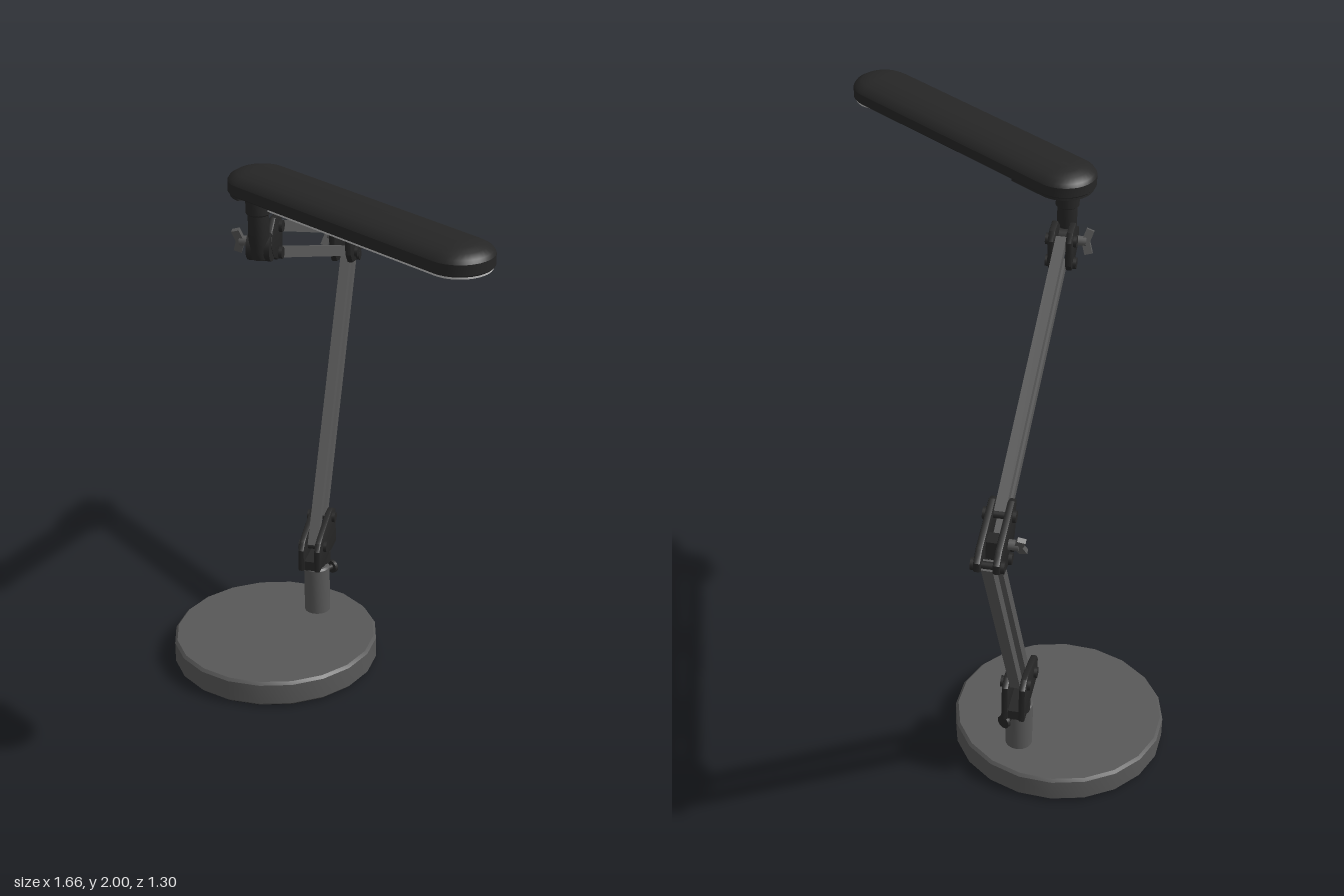
import * as THREE from 'three';
import { toCreasedNormals } from 'three/addons/utils/BufferGeometryUtils.js';

const mat = (color) => new THREE.MeshStandardMaterial({ color });
const dark = mat(0x262626), grey = mat(0x585858), pale = mat(0xbbbbbb), black = mat(0x181818);

function add(parent, name, geometry, material, x = 0, y = 0, z = 0) {
  const mesh = new THREE.Mesh(geometry, material);
  mesh.name = name;
  mesh.position.set(x, y, z);
  parent.add(mesh);
  return mesh;
}

const lathe = (pts, sides) => toCreasedNormals(
  new THREE.LatheGeometry(pts.map(([r, y]) => new THREE.Vector2(r, y)), sides), 0.6);

// Cylinder lying along z
function pin(parent, name, r, length, x, y, z, material = dark, sides = 16) {
  const mesh = add(parent, name, new THREE.CylinderGeometry(r, r, length, sides), material, x, y, z);
  mesh.rotation.x = Math.PI / 2;
  return mesh;
}

// Square bar between two points of the arm plane
function bar(parent, name, [x0, y0], [x1, y1]) {
  const length = Math.hypot(x1 - x0, y1 - y0);
  const mesh = add(parent, name, new THREE.BoxGeometry(length, 0.036, 0.035), grey, (x0 + x1) / 2, (y0 + y1) / 2, 0);
  mesh.rotation.z = Math.atan2(y1 - y0, x1 - x0);
}

// Pair of bevelled side plates with a bolt at each pivot
function bracket(parent, name, outline, pivots) {
  const group = new THREE.Group();
  group.name = name;
  const shape = new THREE.Shape(outline.map(([x, y]) => new THREE.Vector2(x, y)));
  const geo = toCreasedNormals(new THREE.ExtrudeGeometry(shape, {
    depth: 0.012, bevelThickness: 0.005, bevelSize: 0.005, bevelOffset: -0.005, bevelSegments: 2 }), 0.5);
  for (const s of [-1, 1]) {
    add(group, 'sidePlate', geo, dark, 0, 0, s * 0.029 - 0.006);
    for (const [x, y] of pivots) pin(group, 'boltHead', 0.019, 0.012, x, y, s * 0.045);
  }
  for (const [x, y] of pivots) pin(group, 'pivotBolt', 0.012, 0.08, x, y, 0);
  parent.add(group);
  return group;
}

// Tightening knob with two wings, on the +z side of a joint
function wingKnob(parent, x, y, tilt) {
  const group = new THREE.Group();
  group.name = 'wingKnob';
  group.position.set(x, y, 0.04);
  group.rotation.z = tilt;
  pin(group, 'knobStem', 0.016, 0.034, 0, 0, 0.015, grey);
  for (const s of [-1, 1]) {
    const wing = add(group, 'wing', new THREE.BoxGeometry(0.016, 0.042, 0.026), grey, 0, s * 0.02, 0.036);
    wing.rotation.x = s * 0.3;
  }
  parent.add(group);
}

// Outline of a stadium from x0 to x1 with end radius r
function stadium(x0, x1, r, steps = 16) {
  const pts = [];
  for (const [cx, start] of [[x1, -Math.PI / 2], [x0, Math.PI / 2]])
    for (let i = 0; i <= steps; i++) {
      const a = start + Math.PI * i / steps;
      pts.push([cx + r * Math.cos(a), r * Math.sin(a)]);
    }
  return pts;
}

// Stack of stadium sections [y, radius], closed at both ends
function stadiumLoft(x0, x1, sections) {
  const pos = [], index = [];
  const n = stadium(x0, x1, 1).length;
  for (const [y, r] of sections) for (const [x, z] of stadium(x0, x1, r)) pos.push(x, y, z);
  for (let k = 0; k < sections.length - 1; k++)
    for (let i = 0; i < n; i++) {
      const a = k * n + i, b = k * n + (i + 1) % n;
      index.push(a, a + n, b, b, a + n, b + n);
    }
  const top = (sections.length - 1) * n;
  for (let i = 1; i < n - 1; i++) index.push(0, i, i + 1, top, top + i + 1, top + i);
  const geo = new THREE.BufferGeometry();
  geo.setAttribute('position', new THREE.Float32BufferAttribute(pos, 3));
  geo.setIndex(index);
  return toCreasedNormals(geo, 0.5);
}

export function createModel() {
  const model = new THREE.Group();
  model.name = 'deskLamp';

  // Base disc and post
  add(model, 'base', lathe([[0, 0.004], [0.355, 0.004], [0.363, 0.012], [0.363, 0.085], [0.354, 0.095], [0, 0.095]], 20), grey, -0.465, 0, 0.15);
  add(model, 'basePad', new THREE.CylinderGeometry(0.35, 0.35, 0.006, 20), black, -0.465, 0.003, 0.15);
  add(model, 'post', lathe([[0, 0.09], [0.046, 0.09], [0.046, 0.268], [0.04, 0.275], [0, 0.275]], 24), grey, -0.465, 0, -0.066);
  pin(model, 'setScrew', 0.011, 0.05, -0.465, 0.235, -0.125);
  pin(model, 'setScrewHead', 0.024, 0.012, -0.465, 0.235, -0.146);

  // Arm: built in its own vertical plane, x along the reach
  const arm = new THREE.Group();
  arm.name = 'arm';
  arm.position.set(-0.465, 0, -0.066);
  arm.rotation.y = -Math.PI / 3;
  model.add(arm);

  add(arm, 'swivelPin', new THREE.CylinderGeometry(0.03, 0.03, 0.1, 20), dark, 0, 0.29, 0);
  add(arm, 'swivelCollar', new THREE.CylinderGeometry(0.042, 0.042, 0.04, 20), dark, -0.035, 0.295, 0);
  const foot = [[0.043, 0.376], [-0.086, 0.43]];
  const elbowLow = [[-0.508, 1.288], [-0.632, 1.35]];
  const elbowHigh = [[-0.455, 1.405], [-0.475, 1.312]];
  const wrist = [[0.535, 1.778], [0.545, 1.692]];

  const shoulder = bracket(arm, 'shoulderBracket', [[0.11, 0.305], [0.11, 0.385], [0.09, 0.41], [0.05, 0.425], [-0.07, 0.46],
    [-0.1, 0.46], [-0.135, 0.44], [-0.135, 0.305]], foot);
  add(shoulder, 'bridge', new THREE.BoxGeometry(0.235, 0.035, 0.07), dark, -0.0125, 0.324, 0);
  const elbow = bracket(arm, 'elbowBracket', [[-0.4, 1.43], [-0.43, 1.442], [-0.62, 1.398], [-0.657, 1.37], [-0.655, 1.338],
    [-0.57, 1.278], [-0.51, 1.266], [-0.44, 1.282], [-0.41, 1.32]], [...elbowLow, ...elbowHigh]);
  add(elbow, 'spacer', new THREE.BoxGeometry(0.05, 0.06, 0.05), dark, -0.55, 1.36, 0);
  wingKnob(arm, -0.52, 1.35, 0.5);
  const wristBracket = bracket(arm, 'wristBracket', [[0.58, 1.82], [0.52, 1.815], [0.503, 1.785], [0.505, 1.7], [0.525, 1.674],
    [0.56, 1.674], [0.61, 1.7], [0.635, 1.745], [0.62, 1.785]], wrist);
  pin(wristBracket, 'knuckle', 0.045, 0.075, 0.617, 1.737, 0, dark, 20);
  wingKnob(arm, 0.6, 1.745, -0.3);

  for (let i = 0; i < 2; i++) {
    bar(arm, 'lowerBar', foot[i], elbowLow[i]);
    bar(arm, 'upperBar', elbowHigh[i], wrist[i]);
  }

  // Stem that carries the head
  add(arm, 'headStem', lathe([[0, 1.7], [0.026, 1.705], [0.033, 1.73], [0.033, 1.85], [0.039, 1.855], [0.039, 1.93], [0, 1.93]], 20), dark, 0.636, 0, 0);

  // Head: rounded shade with a light panel beneath
  const head = new THREE.Group();
  head.name = 'head';
  head.position.set(-0.135, 0, 0.478);
  head.rotation.y = -Math.atan2(0.062, 0.852);
  model.add(head);
  const L = 0.854;
  add(head, 'shade', stadiumLoft(0, L, [[1.927, 0.1], [1.932, 0.105], [1.965, 0.105], [1.976, 0.098], [1.988, 0.078], [1.996, 0.05], [2, 0.02]]), dark);

  // Underside: dark cover near the stem, pale light panel to the far end
  const under = (x0, x1, roundFirst) => {
    const r = 0.098, s = new THREE.Shape();
    if (roundFirst) {
      s.moveTo(x1, r);
      s.absarc(x0, 0, r, Math.PI / 2, Math.PI * 1.5, false);
      s.lineTo(x1, -r);
    } else {
      s.moveTo(x0, -r);
      s.absarc(x1, 0, r, -Math.PI / 2, Math.PI / 2, false);
      s.lineTo(x0, r);
    }
    return new THREE.ExtrudeGeometry(s, { depth: 0.01, bevelEnabled: false, curveSegments: 20 }).rotateX(Math.PI / 2);
  };
  add(head, 'stemCover', under(0, 0.14, true), dark, 0, 1.928, 0);
  add(head, 'lightPanel', under(0.14, L, false), pale, 0, 1.93, 0);
  for (const s of [-1, 1])
    add(head, 'panelScrew', new THREE.CylinderGeometry(0.009, 0.009, 0.014, 12), dark, L - 0.02, 1.918, s * 0.025);

  return model;
}
